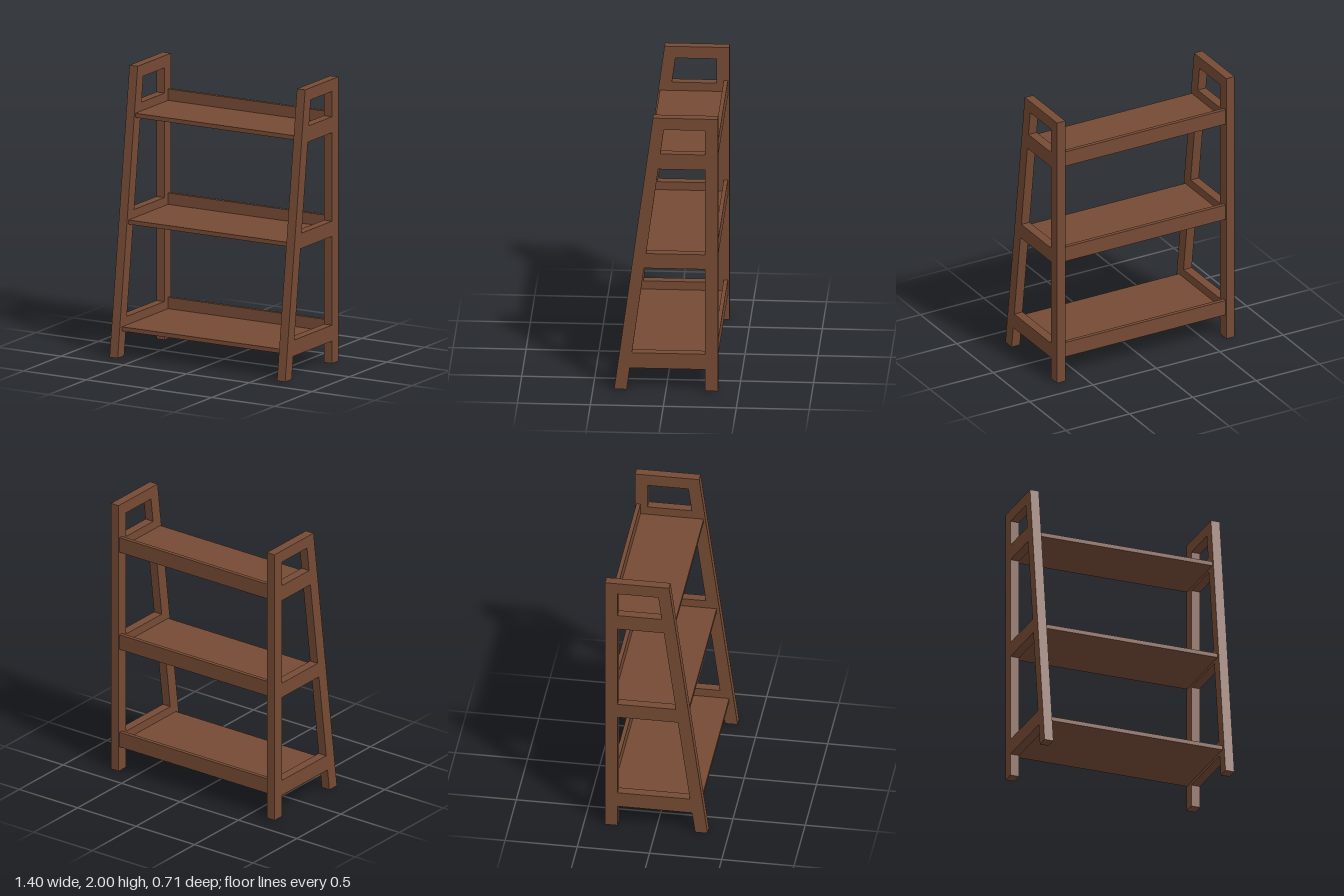
import * as THREE from 'three';

const wood = new THREE.MeshStandardMaterial({ color: 0x754a34 });
wood.name = 'brown wood';

const SIDE_IN = 0.635, SIDE_OUT = 0.7, BACK = -0.355, BACK_IN = -0.268;
const SLOPE = 0.133;
const frontOut = (y) => 0.355 - SLOPE * y; // front face of the leaning leg
const frontIn = (y) => 0.269 - SLOPE * y; // rear face of the leaning leg

// Side frame: upright back leg, leaning front leg and cross rails, drawn in (z, y)
function sideFrameGeometry() {
  const shape = new THREE.Shape([
    [BACK, 0], [BACK_IN, 0], [BACK_IN, 0.158], [frontIn(0.158), 0.158],
    [frontIn(0), 0], [frontOut(0), 0], [frontOut(2), 2], [BACK, 2],
  ].map(([z, y]) => new THREE.Vector2(z, y)));
  // openings between the rails
  for (const [y0, y1] of [[0.27, 0.895], [1.002, 1.625], [1.737, 1.915]]) {
    shape.holes.push(new THREE.Path([
      [BACK_IN, y0], [BACK_IN, y1], [frontIn(y1), y1], [frontIn(y0), y0],
    ].map(([z, y]) => new THREE.Vector2(z, y))));
  }
  const geometry = new THREE.ExtrudeGeometry(shape, { depth: SIDE_OUT - SIDE_IN, bevelEnabled: false });
  return geometry.rotateY(-Math.PI / 2).translate(SIDE_OUT, 0, 0);
}

function board(name, y0, y1, z0, z1) {
  const mesh = new THREE.Mesh(new THREE.BoxGeometry(SIDE_IN * 2, y1 - y0, z1 - z0), wood);
  mesh.position.set(0, (y0 + y1) / 2, (z0 + z1) / 2);
  mesh.name = name;
  return mesh;
}

export function createModel() {
  const group = new THREE.Group();
  group.name = 'ladderShelf';

  // Matching side frames
  const left = new THREE.Mesh(sideFrameGeometry(), wood);
  left.name = 'leftSideFrame';
  const right = new THREE.Mesh(sideFrameGeometry().translate(SIDE_IN * -1 - SIDE_OUT, 0, 0), wood);
  right.name = 'rightSideFrame';
  group.add(left, right);

  // Three shelves, shallower towards the top, each with a back lip
  [[0.18, 0.297], [0.914, 0.21], [1.646, 0.12]].forEach(([y, front], i) => {
    const shelf = new THREE.Group();
    shelf.name = `shelf${i + 1}`;
    shelf.add(
      board('shelfBoard', y, y + 0.03, -0.317, front),
      board('backLip', y, y + 0.11, -0.345, -0.317),
    );
    group.add(shelf);
  });
  return group;
}
